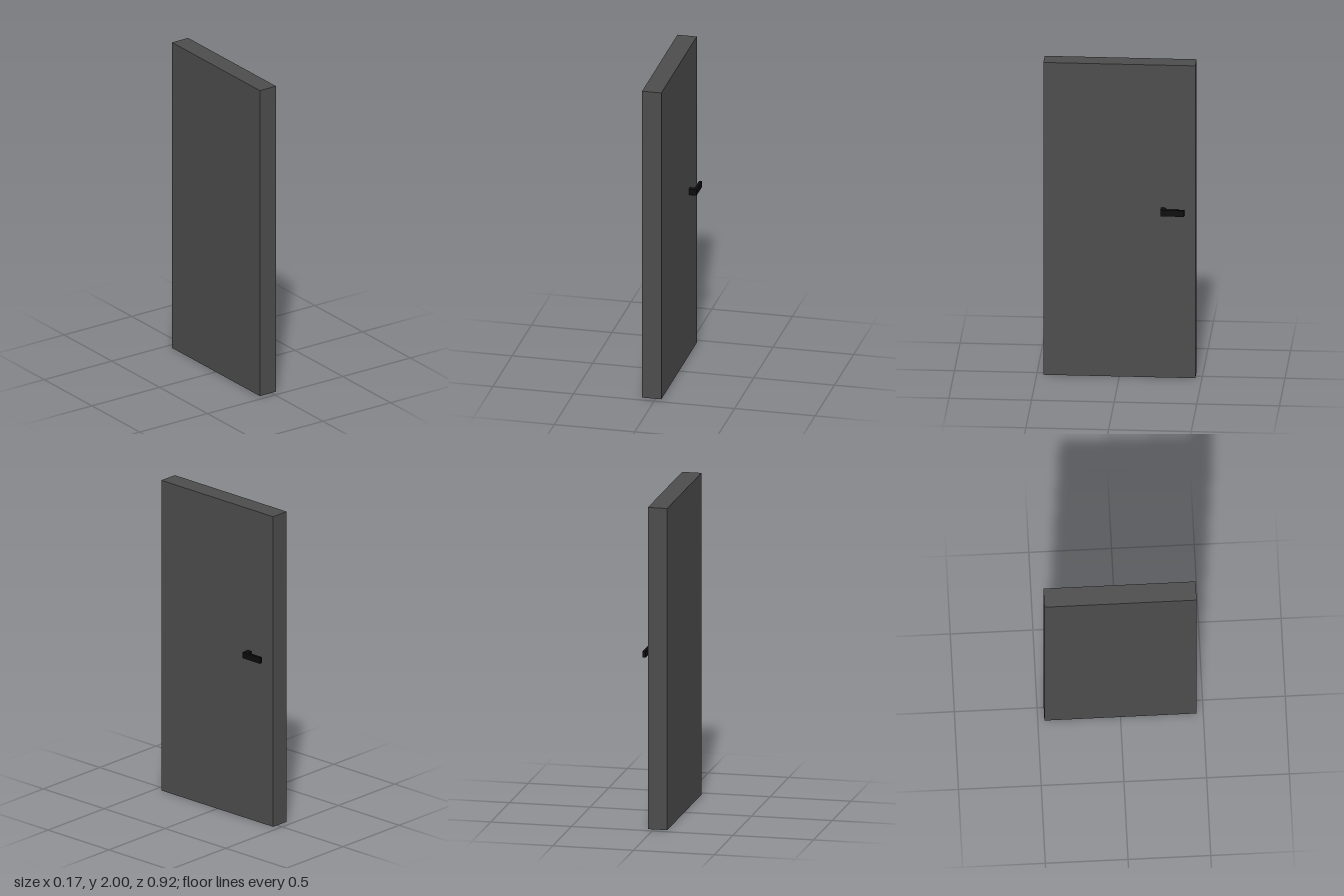
import * as THREE from 'three';

export function createModel() {
  const group = new THREE.Group();
  const add = (name, geometry, color) => {
    const mesh = new THREE.Mesh(geometry, new THREE.MeshStandardMaterial({ color }));
    mesh.name = name;
    group.add(mesh);
    return mesh;
  };

  // Door slab
  const face = 0.036, back = -0.084;
  add('doorPanel', new THREE.BoxGeometry(face - back, 2, 0.92), 0x4c4c4c)
    .position.set((face + back) / 2, 1, 0);

  // L-shaped lever: plan outline (x, -z), extruded upward
  const outline = [
    [face, 0.252], [0.084, 0.252], [0.084, 0.395],
    [0.066, 0.395], [0.066, 0.283], [face, 0.283],
  ].map(([x, y]) => new THREE.Vector2(x, y));
  const lever = new THREE.ExtrudeGeometry(new THREE.Shape(outline), { depth: 0.039, bevelEnabled: false });
  lever.rotateX(-Math.PI / 2);
  add('handle', lever, 0x0c0c0c).position.y = 1.048;

  return group;
}
